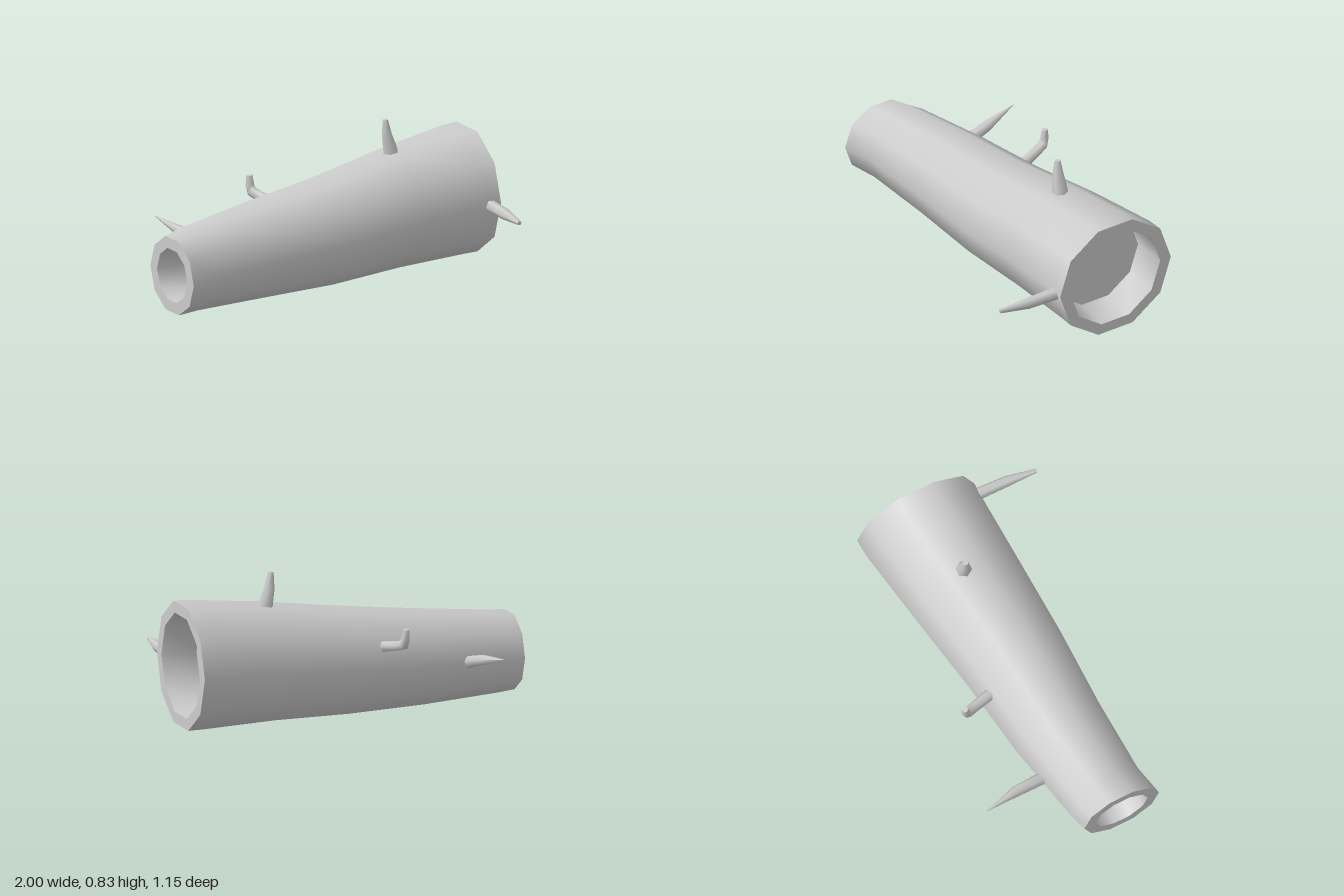
import * as THREE from 'three';

const SIDES = 10;
const material = new THREE.MeshStandardMaterial({ color: 0xcccccc });

// Joins a list of equal-length closed rings into a smooth skin.
function loft(rings) {
  const n = rings[0].length;
  const index = [];
  for (let i = 0; i < rings.length - 1; i++) {
    for (let k = 0; k < n; k++) {
      const a = i * n + k, c = i * n + (k + 1) % n;
      index.push(a, a + n, c, c, a + n, c + n);
    }
  }
  const geometry = new THREE.BufferGeometry().setFromPoints(rings.flat());
  geometry.setIndex(index);
  geometry.computeVertexNormals();
  return geometry;
}

function addMesh(parent, name, rings) {
  const mesh = new THREE.Mesh(loft(rings), material);
  mesh.name = name;
  parent.add(mesh);
}

// Ten-sided ring across the trunk; lean tilts it along x.
function trunkRing(x, y, z, ry, rz, lean = 0) {
  return Array.from({ length: SIDES }, (_, k) => {
    const a = (k / SIDES) * Math.PI * 2;
    const dz = rz * Math.cos(a);
    return new THREE.Vector3(x + lean * dz, y + ry * Math.sin(a), z + dz);
  });
}

// Ring from its extents; the flat top and bottom make the height sin(72 deg) of the diameter.
function extentRing([x, yMin, yMax, zMin, zMax, lean]) {
  const ry = (yMax - yMin) / 2 / Math.sin(Math.PI * 0.4);
  return trunkRing(x, (yMin + yMax) / 2, (zMin + zMax) / 2, ry, (zMax - zMin) / 2, lean);
}

// Tapering twig along points [x, y, z, radius], with a flat tip.
function addTwig(parent, name, points, sides = 6) {
  const path = points.map(([x, y, z]) => new THREE.Vector3(x, y, z));
  const last = path.length - 1;
  let u = new THREE.Vector3(1, 0, 0);
  const rings = path.map((p, i) => {
    const d = path[Math.min(i + 1, last)].clone().sub(path[Math.max(i - 1, 0)]).normalize();
    u = u.clone().addScaledVector(d, -u.dot(d)).normalize();
    const v = u.clone().cross(d);
    return Array.from({ length: sides }, (_, k) => {
      const a = (k / sides) * Math.PI * 2;
      return p.clone()
        .addScaledVector(u, points[i][3] * Math.cos(a))
        .addScaledVector(v, points[i][3] * Math.sin(a));
    });
  });
  const group = new THREE.Group();
  group.name = name;
  addMesh(group, name + 'Shaft', rings);
  addMesh(group, name + 'Tip', [rings[last], rings[last].map(() => path[last].clone())]);
  parent.add(group);
}

export function createModel() {
  const model = new THREE.Group();
  model.name = 'hollowLog';

  // Bark: x, y range, z range, lean
  const bark = [
    [-1, 0.02, 0.435, -0.13, 0.325, 0],
    [-0.875, 0.018, 0.453, -0.157, 0.287, 0.22],
    [-0.43, 0.008, 0.51, -0.255, 0.27, 0.1],
    [0.03, 0.005, 0.57, -0.32, 0.27, 0.1],
    [0.48, 0.022, 0.642, -0.402, 0.252, 0.08],
    [0.91, 0.022, 0.695, -0.475, 0.237, 0.03],
    [1, 0.022, 0.7, -0.48, 0.237, 0],
  ].map(extentRing);
  addMesh(model, 'bark', bark);

  // Narrow end: bore floor, bore wall, rim
  const narrow = (x, r) => trunkRing(x, 0.228, 0.098, r * 0.96, r);
  addMesh(model, 'narrowBoreFloor', [narrow(-0.8, 0), narrow(-0.8, 0.15)]);
  addMesh(model, 'narrowBoreWall', [narrow(-0.8, 0.15), narrow(-1, 0.158)]);
  addMesh(model, 'narrowRim', [narrow(-1, 0.158), bark[0]]);

  // Wide end: rim, bore wall, bore floor
  const wide = (x, r) => trunkRing(x, 0.36, -0.12, r, r);
  addMesh(model, 'wideRim', [bark[bark.length - 1], wide(1, 0.291)]);
  addMesh(model, 'wideBoreWall', [wide(1, 0.291), wide(0.8, 0.278)]);
  addMesh(model, 'wideBoreFloor', [wide(0.8, 0.278), wide(0.8, 0)]);

  // Twigs
  addTwig(model, 'topTwig', [
    [0.505, 0.6, -0.09, 0.05], [0.492, 0.67, -0.09, 0.042],
    [0.475, 0.74, -0.092, 0.032], [0.466, 0.832, -0.094, 0.016],
  ]);
  addTwig(model, 'frontTwig', [
    [0.94, 0.35, 0.2, 0.036], [0.94, 0.35, 0.25, 0.034],
    [0.935, 0.347, 0.4, 0.031], [0.915, 0.347, 0.572, 0.012],
  ]);
  addTwig(model, 'backTwig', [
    [-0.64, 0.24, -0.17, 0.035], [-0.65, 0.27, -0.25, 0.034],
    [-0.662, 0.303, -0.37, 0.031], [-0.704, 0.345, -0.572, 0.002],
  ]);
  addTwig(model, 'bentTwig', [
    [-0.12, 0.39, -0.22, 0.034], [-0.165, 0.425, -0.37, 0.029],
    [-0.182, 0.442, -0.422, 0.03], [-0.186, 0.475, -0.434, 0.024],
    [-0.188, 0.53, -0.438, 0.018],
  ]);

  return model;
}
